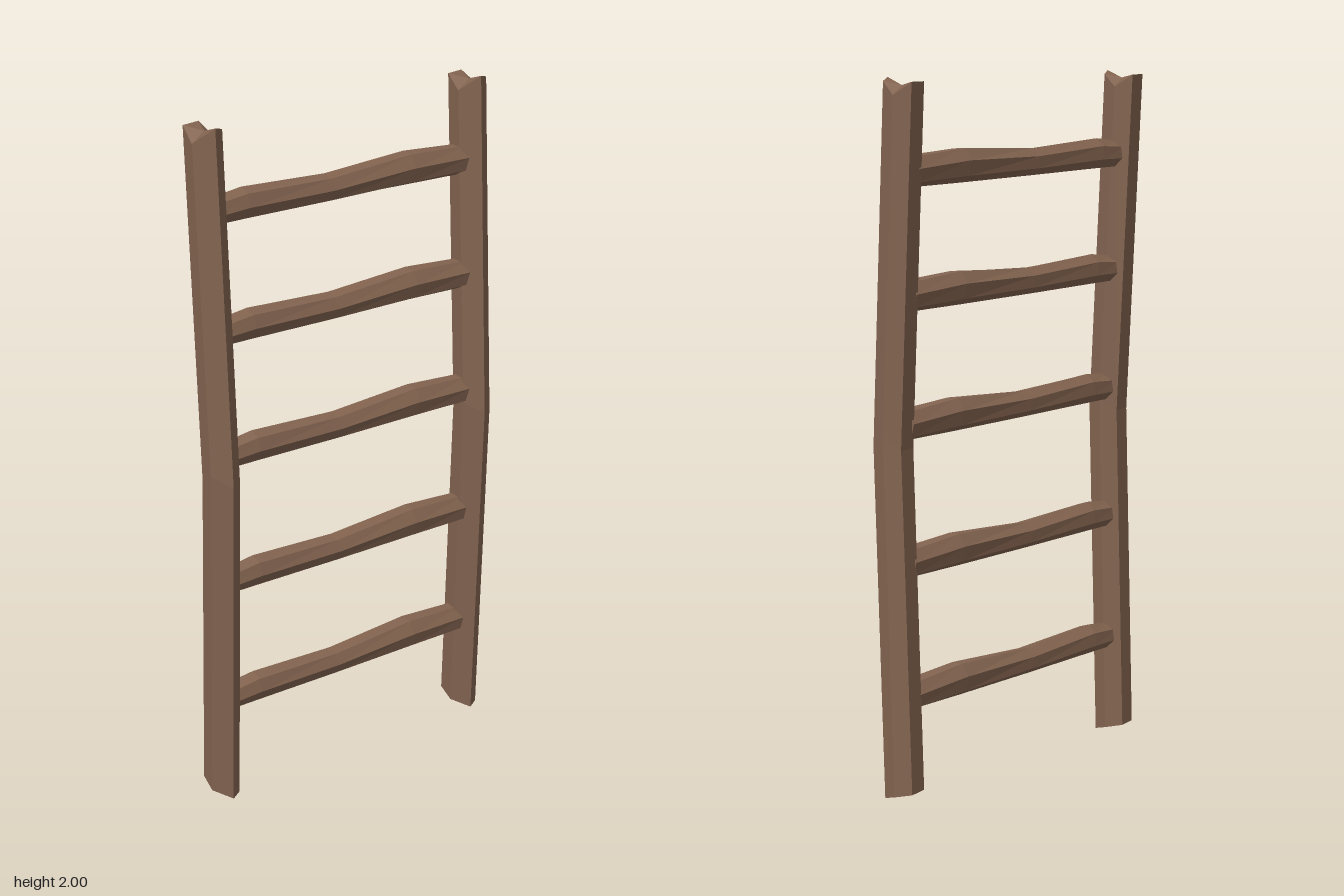
import * as THREE from 'three';

const wood = new THREE.MeshStandardMaterial({ color: 0x82634f, flatShading: true });

// Skin a list of equal-sized rings (clockwise seen from the far end) and close both ends
function loft(rings) {
  const pos = [];
  const tri = (...pts) => pts.forEach((p) => pos.push(p.x, p.y, p.z));
  const middle = (ring) =>
    ring.reduce((sum, p) => sum.add(p), new THREE.Vector3()).divideScalar(ring.length);
  const n = rings[0].length;
  const first = rings[0], last = rings[rings.length - 1];
  const c0 = middle(first), c1 = middle(last);
  for (let i = 0; i < n; i++) {
    const j = (i + 1) % n;
    for (let k = 0; k < rings.length - 1; k++) {
      const a = rings[k], b = rings[k + 1];
      tri(a[i], b[i], b[j]);
      tri(a[i], b[j], a[j]);
    }
    tri(c0, first[i], first[j]);
    tri(c1, last[j], last[i]);
  }
  const geo = new THREE.BufferGeometry();
  geo.setAttribute('position', new THREE.Float32BufferAttribute(pos, 3));
  geo.computeVertexNormals();
  return geo;
}

// Bowed, rough-hewn six-sided rail with unevenly cut ends
function railGeometry() {
  const section = [[-0.03, -0.05], [0.026, -0.06], [0.042, -0.005], [0.032, 0.042], [0, 0.058], [-0.042, 0.01]];
  const levels = [
    { z: -0.008, y: [0.035, 0.035, 0.02, 0.005, 0, 0.02] },
    { z: 0.025, y: [1, 1, 1.03, 1, 1, 1.03] },
    { z: -0.026, y: [1.99, 1.99, 1.955, 1.99, 2, 1.955] },
  ];
  return loft(levels.map(({ z, y }) =>
    section.map(([sx, sz], i) => new THREE.Vector3(sx, y[i], sz + z))));
}

// Knobbly rung: seven-sided sections that sag, swell and twist along x
function rungGeometry() {
  const sides = 7;
  // x, centre y, centre z, half height, half depth, twist
  const stations = [
    [-0.425, -0.002, 0.003, 0.038, 0.037, 0.1],
    [-0.33, 0.003, 0.002, 0.044, 0.041, 0.15],
    [-0.05, -0.007, -0.001, 0.039, 0.041, 0.25],
    [0.23, -0.002, -0.003, 0.049, 0.045, 0.4],
    [0.425, -0.01, -0.003, 0.044, 0.043, 0.5],
  ];
  return loft(stations.map(([x, cy, cz, ry, rz, twist]) =>
    Array.from({ length: sides }, (_, i) => {
      const t = twist + (i / sides) * Math.PI * 2;
      return new THREE.Vector3(x, cy + ry * Math.cos(t), cz - rz * Math.sin(t));
    })));
}

export function createModel() {
  const model = new THREE.Group();
  model.name = 'ladder';

  // Two identical side rails
  const railGeo = railGeometry();
  for (const [name, x] of [['leftRail', 0.446], ['rightRail', -0.446]]) {
    const rail = new THREE.Mesh(railGeo, wood);
    rail.name = name;
    rail.position.x = x;
    model.add(rail);
  }

  // Five rungs following the bow of the rails (height, depth)
  const rungGeo = rungGeometry();
  const rungs = [[0.31, -0.005], [0.685, 0.003], [1.07, 0.008], [1.425, -0.006], [1.762, -0.022]];
  rungs.forEach(([y, z], i) => {
    const rung = new THREE.Mesh(rungGeo, wood);
    rung.name = `rung${i + 1}`;
    rung.position.set(0, y, z);
    model.add(rung);
  });

  return model;
}
